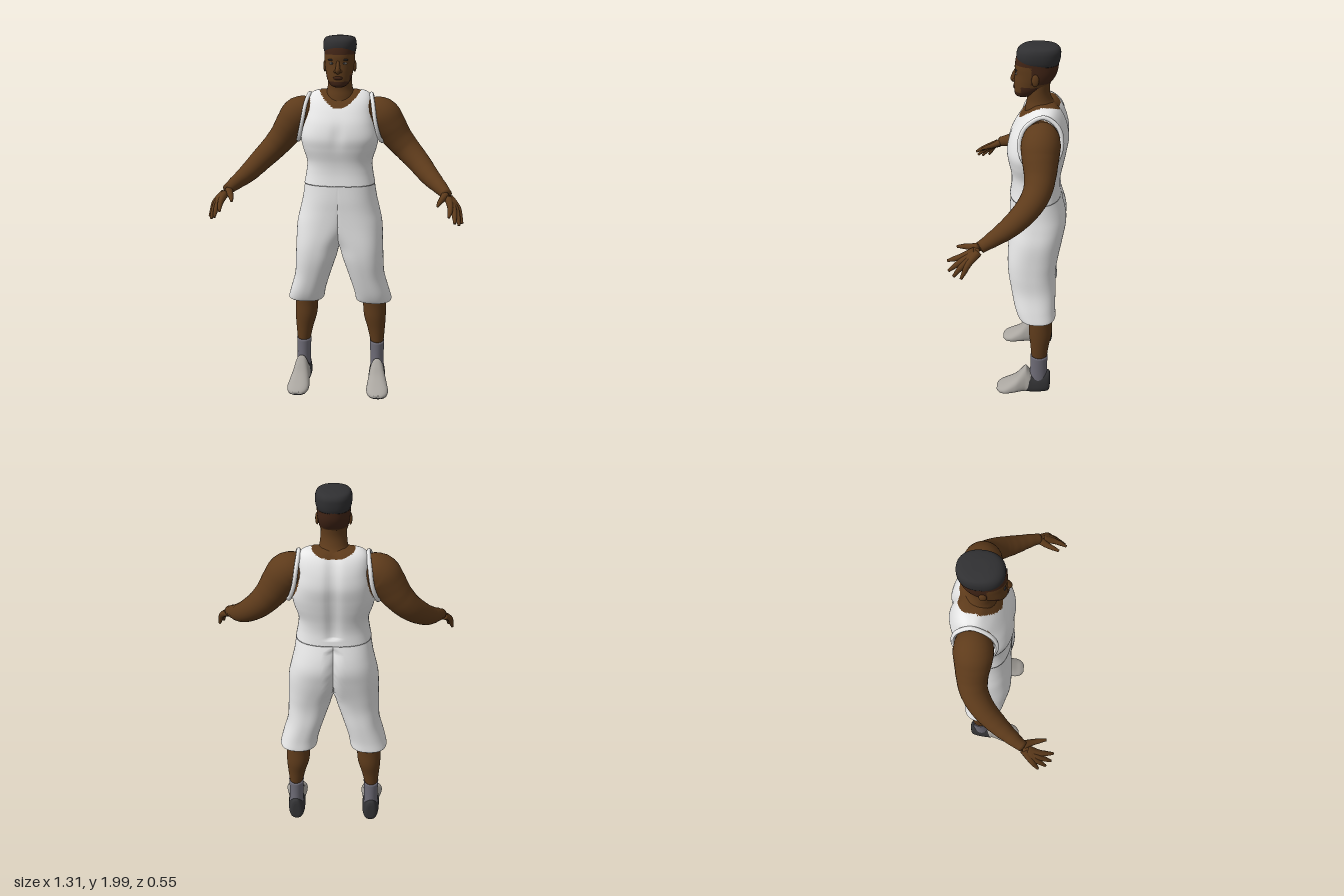
import * as THREE from 'three';

const mat = (name, color) => Object.assign(new THREE.MeshStandardMaterial({ color }), { name });

// Closed rings joined into one smooth skin with capped ends
function skin(rows) {
  const n = rows[0].length, pos = [], idx = [];
  rows.forEach(r => r.forEach(p => pos.push(p.x, p.y, p.z)));
  for (let i = 0; i < rows.length - 1; i++) for (let j = 0; j < n; j++) {
    const a = i * n + j, b = i * n + (j + 1) % n;
    idx.push(a, b, b + n, a, b + n, a + n);
  }
  [0, rows.length - 1].forEach((r, end) => {
    const c = rows[r].reduce((s, p) => s.add(p), new THREE.Vector3()).divideScalar(n);
    const k = pos.length / 3;
    pos.push(c.x, c.y, c.z);
    for (let j = 0; j < n; j++) {
      const a = r * n + j, b = r * n + (j + 1) % n;
      end ? idx.push(a, b, k) : idx.push(b, a, k);
    }
  });
  const g = new THREE.BufferGeometry();
  g.setAttribute('position', new THREE.Float32BufferAttribute(pos, 3));
  g.setIndex(idx);
  g.computeVertexNormals();
  return g;
}

// Catmull-Rom blend of rows of numbers
function blend(rows, steps) {
  const out = [], at = i => rows[Math.min(rows.length - 1, Math.max(0, i))];
  for (let i = 0; i < rows.length - 1; i++) for (let s = 0; s < steps; s++) {
    const t = s / steps;
    out.push(rows[i].map((b, k) => {
      const a = at(i - 1)[k], c = at(i + 1)[k], d = at(i + 2)[k];
      return b + 0.5 * t * (c - a + t * (2 * a - 5 * b + 4 * c - d + t * (3 * (b - c) + d - a)));
    }));
  }
  out.push(rows[rows.length - 1]);
  return out;
}

// Sections are [y, centre x, half width, front z, back z]
function loft(sections, power = 2.3, seg = 40, steps = 5) {
  const pw = v => Math.sign(v) * Math.abs(v) ** (2 / power);
  return skin(blend(sections, steps).map(([y, cx, rx, zf, zb]) => Array.from({ length: seg }, (_, j) => {
    const a = j / seg * Math.PI * 2;
    return new THREE.Vector3(cx + rx * pw(Math.cos(a)), y, (zf + zb) / 2 - (zf - zb) / 2 * pw(Math.sin(a)));
  })));
}

// Tapered limb; points are [x, y, z, radius]
function limb(points, seg = 20, rows = 30) {
  const curve = new THREE.CatmullRomCurve3(points.map(p => new THREE.Vector3(p[0], p[1], p[2])));
  const f = curve.computeFrenetFrames(rows), radii = blend(points.map(p => [p[3]]), 10);
  return skin(Array.from({ length: rows + 1 }, (_, i) => {
    const u = i / rows, t = curve.getUtoTmapping(u), r = radii[Math.round(t * (radii.length - 1))][0];
    return Array.from({ length: seg }, (_, j) => {
      const a = j / seg * Math.PI * 2;
      return curve.getPointAt(u).addScaledVector(f.normals[i], r * Math.cos(a)).addScaledVector(f.binormals[i], r * Math.sin(a));
    });
  }));
}

// Moves every vertex by a rule
function bend(g, rule) {
  const p = g.attributes.position, v = new THREE.Vector3();
  for (let i = 0; i < p.count; i++) { rule(v.fromBufferAttribute(p, i)); p.setXYZ(i, v.x, v.y, v.z); }
  g.computeVertexNormals();
  return g;
}

// Sorts triangles into two material groups: 1 where the test is true
function split(g, test) {
  const p = g.attributes.position, id = g.index.array, parts = [[], []], c = new THREE.Vector3(), v = new THREE.Vector3();
  for (let i = 0; i < id.length; i += 3) {
    c.set(0, 0, 0);
    for (let k = 0; k < 3; k++) c.addScaledVector(v.fromBufferAttribute(p, id[i + k]), 1 / 3);
    parts[test(c) ? 1 : 0].push(id[i], id[i + 1], id[i + 2]);
  }
  g.setIndex([...parts[0], ...parts[1]]);
  g.addGroup(0, parts[0].length, 0);
  g.addGroup(parts[0].length, parts[1].length, 1);
  return g;
}

function mirrored(g) {
  const m = g.clone().scale(-1, 1, 1), id = m.index.array;
  for (let i = 0; i < id.length; i += 3) [id[i], id[i + 1]] = [id[i + 1], id[i]];
  m.computeVertexNormals();
  return m;
}

export function createModel() {
  const root = new THREE.Group();
  root.name = 'figure';
  const skinMat = mat('brown skin', 0x5e3b1b), fade = mat('dark stubble', 0x422516), hair = mat('black hair', 0x303032);
  const cloth = mat('white cloth', 0xe8e8e8), sock = mat('grey sock', 0x6d6b76);
  const shoe = mat('light shoe', 0xaaa6a0), sole = mat('dark rubber', 0x343436), eye = mat('eye white', 0xb0a8a0);
  cloth.side = THREE.DoubleSide;
  const add = (name, g, m) => {
    const mesh = new THREE.Mesh(g, m);
    mesh.name = name;
    root.add(mesh);
  };
  const both = (name, g, m) => { add(name + 'Left', g, m); add(name + 'Right', mirrored(g), m); };
  const blob = (x, y, z, sx, sy, sz) => new THREE.SphereGeometry(1, 16, 12).scale(sx, sy, sz).translate(x, y, z);

  // Torso: sleeveless top with skin at neckline and armholes
  const bare = p => {
    const neck = p.z > -0.13 ? p.y > 1.632 + 7 * p.x * p.x : p.y > 1.688 + 3 * p.x * p.x;
    const arm = Math.abs(p.x) > 0.1 && ((p.y - 1.57) / 0.115) ** 2 + ((p.z + 0.14) / 0.085) ** 2 < 1;
    return neck || arm;
  };
  const torso = loft([
    [1.225, 0, 0.192, 0.02, -0.247], [1.29, 0, 0.18, 0.012, -0.24], [1.35, 0, 0.177, 0.014, -0.245],
    [1.42, 0, 0.198, 0.028, -0.258], [1.48, 0, 0.207, 0.035, -0.268], [1.55, 0, 0.194, 0.02, -0.277],
    [1.61, 0, 0.181, -0.01, -0.268], [1.66, 0, 0.174, -0.045, -0.25], [1.695, 0, 0.16, -0.08, -0.228],
    [1.715, 0, 0.13, -0.105, -0.205], [1.722, 0, 0.08, -0.13, -0.18]], 2.6, 120, 9);
  bend(torso, p => {
    if (p.z < -0.16 && p.y > 1.26) p.z += 0.013 * Math.exp(-((p.x / 0.03) ** 2));
    if (p.z > -0.05) p.z -= 0.008 * Math.exp(-((p.x / 0.03) ** 2)) * Math.exp(-(((p.y - 1.49) / 0.06) ** 2));
  });
  split(torso, bare);
  add('vest', torso, [cloth, skinMat]);

  // Loose armhole edges, flared outward at the bottom
  const hole = new THREE.CatmullRomCurve3([[0.165, 1.698, -0.15], [0.178, 1.65, -0.065], [0.193, 1.56, -0.038], [0.215, 1.475, -0.07],
    [0.226, 1.45, -0.13], [0.212, 1.475, -0.205], [0.186, 1.56, -0.24], [0.172, 1.65, -0.222]].map(p => new THREE.Vector3(...p)), true);
  both('armholeEdge', new THREE.TubeGeometry(hole, 48, 0.011, 8, true), cloth);

  // Knee-length shorts, halves meeting at the centre, hem turned inward
  const shorts = loft([
    [0.62, 0.18, 0.075, -0.03, -0.22], [0.56, 0.19, 0.088, -0.052, -0.228], [0.545, 0.193, 0.101, -0.04, -0.24],
    [0.6, 0.181, 0.099, -0.017, -0.236], [0.7, 0.152, 0.1, 0.005, -0.235], [0.8, 0.132, 0.113, 0.022, -0.232],
    [0.89, 0.115, 0.126, 0.026, -0.243], [1.0, 0.07, 0.165, 0.022, -0.265], [1.08, 0.04, 0.178, 0.02, -0.278],
    [1.15, 0.02, 0.182, 0.02, -0.27], [1.235, 0, 0.189, 0.016, -0.244]], 2.4, 72, 6);
  both('shorts', bend(shorts, p => {
    p.x = Math.max(p.x, 0);
    if (p.z < -0.17 && p.y > 0.9 && p.y < 1.2) p.z += 0.02 * Math.exp(-((p.x / 0.018) ** 2));
  }), cloth);

  // Lower legs and socks
  both('leg', loft([[0.27, 0.215, 0.038, -0.112, -0.2], [0.35, 0.209, 0.05, -0.105, -0.21], [0.43, 0.2, 0.063, -0.096, -0.224],
    [0.52, 0.195, 0.066, -0.094, -0.22], [0.64, 0.185, 0.07, -0.08, -0.22]], 2), skinMat);
  both('sock', loft([[0.1, 0.218, 0.04, -0.1, -0.205], [0.18, 0.216, 0.039, -0.107, -0.203], [0.272, 0.215, 0.042, -0.108, -0.204]], 2), sock);

  // Shoes: lofted from heel to toe, dark heel counter and sole
  const foot = loft([
    [-0.222, 0.216, 0.02, -0.04, -0.13], [-0.212, 0.216, 0.04, -0.015, -0.158], [-0.17, 0.217, 0.05, -0.01, -0.148],
    [-0.12, 0.219, 0.052, -0.01, -0.14], [-0.098, 0.22, 0.053, -0.01, -0.165], [-0.08, 0.22, 0.053, -0.01, -0.188],
    [-0.055, 0.222, 0.055, -0.01, -0.155], [-0.02, 0.225, 0.06, -0.01, -0.108], [0.03, 0.228, 0.062, -0.009, -0.07],
    [0.065, 0.229, 0.05, -0.01, -0.052], [0.085, 0.229, 0.025, -0.018, -0.038]], 2.5, 48, 6).rotateX(Math.PI / 2);
  bend(foot, p => { p.x = 0.222 + (p.x - 0.222) * (1 - 2.6 * Math.max(0, p.y - 0.04)); });
  both('shoe', split(foot, p => p.z < -0.1 - 0.25 * (p.y - 0.08) || p.y < 0.026), [shoe, sole]);

  // Arms
  both('arm', limb([[0.13, 1.6, -0.15, 0.07], [0.215, 1.59, -0.142, 0.094], [0.262, 1.535, -0.142, 0.089], [0.31, 1.468, -0.144, 0.077],
    [0.365, 1.405, -0.133, 0.068], [0.425, 1.345, -0.09, 0.06], [0.485, 1.285, -0.015, 0.05],
    [0.545, 1.24, 0.075, 0.035], [0.57, 1.22, 0.118, 0.028]], 28, 48), skinMat);

  // Hands: palm, four fingers and thumb
  const bones = [
    [[0.578, 1.205, 0.14], [0.585, 1.178, 0.2], [0.582, 1.16, 0.24], [0.576, 1.145, 0.27]],
    [[0.582, 1.2, 0.138], [0.602, 1.168, 0.195], [0.606, 1.135, 0.235], [0.607, 1.11, 0.262]],
    [[0.584, 1.2, 0.132], [0.615, 1.162, 0.182], [0.625, 1.125, 0.215], [0.63, 1.095, 0.237]],
    [[0.584, 1.205, 0.125], [0.625, 1.165, 0.165], [0.638, 1.125, 0.185], [0.647, 1.095, 0.2]],
    [[0.562, 1.22, 0.12], [0.542, 1.205, 0.165], [0.53, 1.198, 0.2], [0.521, 1.19, 0.23]]];
  bones.forEach((b, i) => both(i < 4 ? 'finger' + (i + 1) : 'thumb',
    limb(b.map((p, k) => [...p, [0.021, 0.0155, 0.012, 0.007][k]]), 10, 14), skinMat));
  const palm = blob(0, 0, 0, 0.033, 0.018, 0.052);
  palm.applyMatrix4(new THREE.Matrix4().makeBasis(new THREE.Vector3(0.72, -0.1, -0.69).normalize(),
    new THREE.Vector3(0.55, 0.8, 0.46).normalize(), new THREE.Vector3(0.42, -0.62, 0.66).normalize()));
  both('palm', palm.translate(0.594, 1.188, 0.158), skinMat);

  // Neck and head
  add('neck', loft([[1.62, 0, 0.085, -0.045, -0.22], [1.69, 0, 0.08, -0.055, -0.212], [1.73, 0, 0.067, -0.062, -0.185],
    [1.78, 0, 0.062, -0.058, -0.172], [1.84, 0, 0.06, -0.06, -0.18]], 2), skinMat);
  const head = loft([[1.742, 0, 0.024, -0.018, -0.06], [1.752, 0, 0.042, -0.004, -0.095], [1.78, 0, 0.061, 0, -0.135],
    [1.82, 0, 0.071, 0, -0.18], [1.86, 0, 0.077, -0.004, -0.204], [1.9, 0, 0.079, -0.003, -0.212],
    [1.95, 0, 0.078, -0.015, -0.21], [1.98, 0, 0.05, -0.05, -0.18]], 2.2, 80, 8);
  add('head', split(head, p => (p.y > 1.82 && p.z < -0.085) || p.y > 1.905 ||
    (p.y < 1.805 && p.z < -0.035) || p.y < 1.772), [skinMat, fade]);
  add('hair', loft([[1.908, 0, 0.077, -0.022, -0.212], [1.925, 0, 0.083, -0.013, -0.218], [1.95, 0, 0.086, -0.01, -0.221],
    [1.975, 0, 0.083, -0.017, -0.219], [1.992, 0, 0.07, -0.04, -0.2], [2.0, 0, 0.03, -0.08, -0.15]], 2.3), hair);

  // Face details
  add('nose', limb([[0, 1.872, -0.008, 0.008], [0, 1.845, 0.002, 0.011], [0, 1.825, 0.004, 0.014], [0, 1.816, -0.004, 0.01]], 14, 14), skinMat);
  both('nostril', blob(0.013, 1.823, -0.003, 0.009, 0.008, 0.01), skinMat);
  both('ear', blob(0.078, 1.845, -0.105, 0.009, 0.03, 0.018), skinMat);
  both('eye', blob(0.032, 1.863, -0.012, 0.013, 0.006, 0.004), eye);
  both('pupil', blob(0.032, 1.863, -0.009, 0.006, 0.006, 0.003), sole);
  both('eyebrow', blob(0.034, 1.881, -0.012, 0.02, 0.004, 0.005), hair);
  add('lips', blob(0, 1.79, -0.001, 0.025, 0.009, 0.006), fade);
  return root;
}
